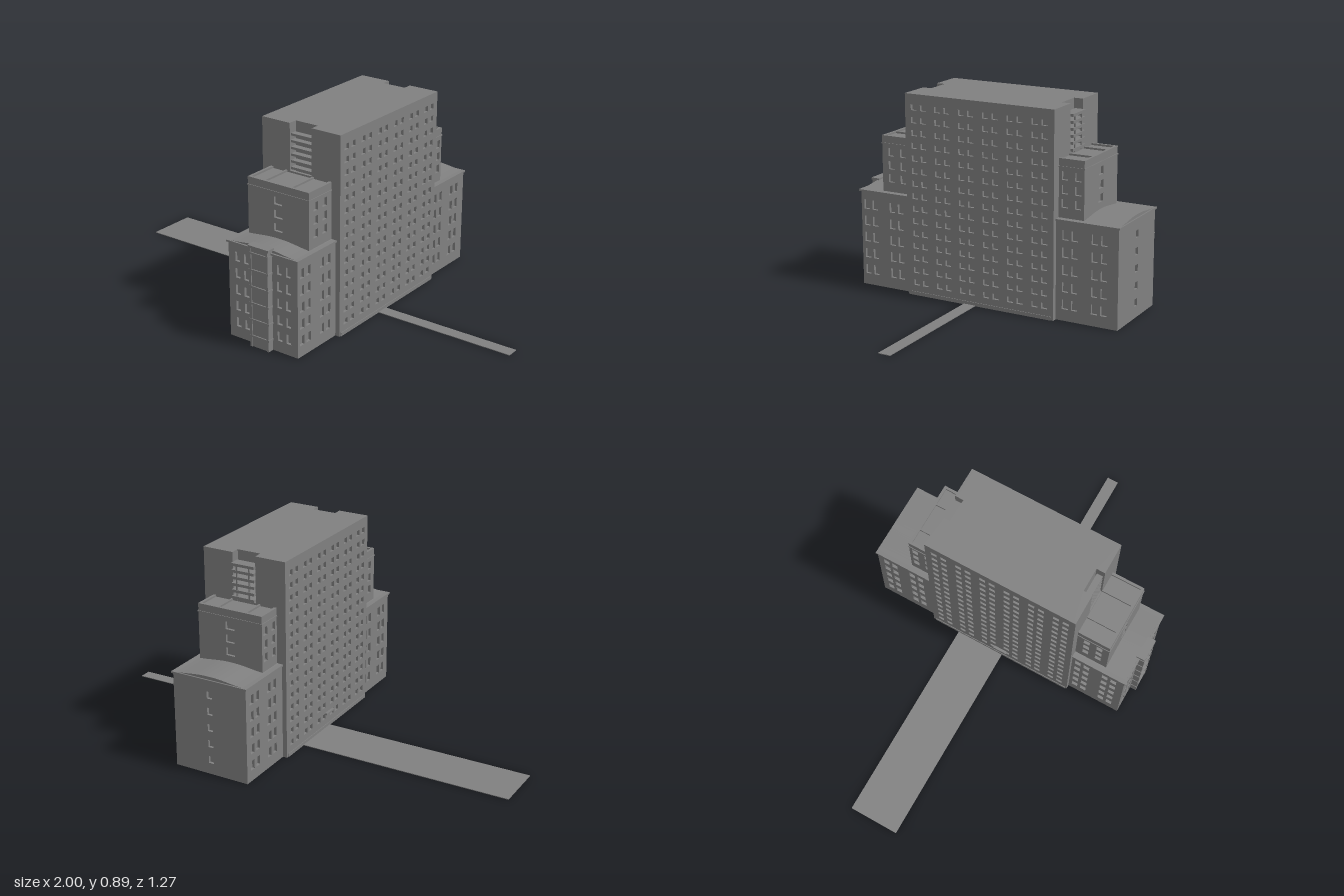
import * as THREE from 'three';

const stone = new THREE.MeshStandardMaterial({ color: 0x808080 });
stone.name = 'grey stone';
const T = 0.012; // facade thickness, so windows are recessed by this much
const CX = 0.1575; // centre line of the building

function add(parent, name, geometry, x = 0, y = 0, z = 0) {
  const mesh = new THREE.Mesh(geometry, stone);
  mesh.name = name;
  mesh.position.set(x, y, z);
  parent.add(mesh);
  return mesh;
}

// Box given by its limits on each axis
function box(parent, name, x0, x1, y0, y1, z0, z1) {
  return add(parent, name, new THREE.BoxGeometry(x1 - x0, y1 - y0, z1 - z0),
    (x0 + x1) / 2, (y0 + y1) / 2, (z0 + z1) / 2);
}

function polygon(points) {
  return new THREE.Shape(points.map(([x, y]) => new THREE.Vector2(x, y)));
}

function extrude(shape, depth) {
  return new THREE.ExtrudeGeometry(shape, { depth, bevelEnabled: false, curveSegments: 16 });
}

// Regular window openings: columns across, sill heights, width and height
function windows(columns, sills, w, h) {
  const list = [];
  for (const c of columns) for (const y of sills) list.push([c, y, w, h]);
  return list;
}

// Wall panel pierced by window openings; notch cuts a slot down from the top
function wall(width, y0, y1, openings, notch) {
  const a = width / 2;
  const outline = [[-a, y0], [a, y0], [a, y1]];
  if (notch) outline.push([notch.w, y1], [notch.w, notch.y], [-notch.w, notch.y], [-notch.w, y1]);
  outline.push([-a, y1]);
  const shape = polygon(outline);
  for (const [x, y, w, h] of openings) {
    shape.holes.push(polygon([[x - w / 2, y], [x - w / 2, y + h], [x + w / 2, y + h], [x + w / 2, y]]));
  }
  return extrude(shape, T);
}

// Two long facades, mirrored in x
function sideWalls(parent, x0, x1, y0, y1, z0, z1, openings) {
  const zc = (z0 + z1) / 2;
  for (const s of [1, -1]) {
    const x = s > 0 ? x1 - T : x0 + T;
    add(parent, s > 0 ? 'leftFacade' : 'rightFacade', wall(z1 - z0, y0, y1, openings), x, 0, zc)
      .rotation.y = s * Math.PI / 2;
  }
}

// End facade facing +z (dir 1) or -z (dir -1), its outer face at z
function endWall(parent, x0, x1, y0, y1, z, dir, openings, notch) {
  const m = add(parent, 'endFacade', wall(x1 - x0 - 2 * T, y0, y1, openings, notch),
    (x0 + x1) / 2, 0, z - dir * T);
  if (dir < 0) m.rotation.y = Math.PI;
}

const steps = (n, start, pitch) => Array.from({ length: n }, (_, i) => start + i * pitch);

function group(parent, name) {
  const g = new THREE.Group();
  g.name = name;
  parent.add(g);
  return g;
}

function tower(root) {
  const g = group(root, 'tower');
  const [x0, x1, z0, z1, top] = [-0.04, 0.355, -0.355, 0.35, 0.885];
  // Six pairs of window columns on fifteen floors
  const columns = [];
  for (const c of steps(6, -0.2875, 0.115)) columns.push(c - 0.0225, c + 0.0225);
  sideWalls(g, x0, x1, 0, top, z0, z1, windows(columns, steps(15, 0.045, 0.055), 0.028, 0.025));
  const notch = { w: 0.055, y: 0.68 };
  endWall(g, x0, x1, 0, top, z1, 1, [], notch);
  endWall(g, x0, x1, 0, top, z0, -1, [], notch);
  // Core with a balcony slot at each end, raised to leave the ground floor hollow
  const [a, b, c, d, n] = [x0 + T, x1 - T, z0 + T, z1 - T, 0.028];
  const [l, r] = [CX - notch.w, CX + notch.w];
  const plan = polygon([[a, -d], [l, -d], [l, n - d], [r, n - d], [r, -d], [b, -d],
    [b, -c], [r, -c], [r, -c - n], [l, -c - n], [l, -c], [a, -c]]);
  add(g, 'towerCore', extrude(plan, top - 0.04), 0, 0.04).rotation.x = -Math.PI / 2;
  // Stacked balconies
  for (const y of steps(6, 0.685, 0.029)) {
    box(g, 'frontBalcony', l, r, y, y + 0.01, 0.315, 0.343);
    box(g, 'backBalcony', l, r, y, y + 0.012, -0.368, -0.32);
  }
  for (const x of [0.125, 0.185]) box(g, 'balconyPost', x, x + 0.006, 0.68, 0.84, -0.366, -0.36);
  // Plinths
  for (const x of [x0 - 0.003, x1]) box(g, 'plinth', x, x + 0.003, 0, 0.016, -0.342, 0.342);
}

// Low wing at one end: dir 1 is the front, -1 the back
function wing(root, dir, zIn, zOut, zTier) {
  const g = group(root, dir > 0 ? 'frontWing' : 'backWing');
  const [x0, x1, top] = [-0.02, 0.333, 0.428];
  const [za, zb] = [Math.min(zIn, zOut), Math.max(zIn, zOut)];
  const sills = steps(5, 0.05, 0.074);
  sideWalls(g, x0, x1, 0, top, za, zb, windows([-0.093, -0.053, 0.033, 0.073].map(c => c * 1.05), sills, 0.028, 0.042));
  endWall(g, x0, x1, 0, top, zOut, dir, dir > 0
    ? windows([-0.13, -0.085, 0.085, 0.13], sills, 0.024, 0.042)
    : windows([0], steps(5, 0.05, 0.074), 0.026, 0.032));
  box(g, 'wingCore', x0 + T, x1 - T, 0.04, top, za + (dir < 0 ? T : 0), zb - (dir > 0 ? T : 0));
  // Cornice and gently arched roof
  const [ca, cb] = dir > 0 ? [za, zb + 0.008] : [za - 0.006, zb];
  box(g, 'cornice', x0 - 0.006, x1 + 0.006, 0.424, 0.432, ca, cb);
  const roof = new THREE.Shape();
  roof.moveTo(x0, 0.431);
  roof.lineTo(x1, 0.431);
  roof.bezierCurveTo(0.25, 0.436, 0.23, 0.446, CX, 0.446);
  roof.bezierCurveTo(0.085, 0.446, 0.065, 0.436, x0, 0.431);
  add(g, 'archedRoof', extrude(roof, zb - za), 0, 0, za);

  // Set-back tier above the wing
  const t = group(g, 'tier');
  const [tx0, tx1, ty] = [0.003, 0.312, 0.68];
  const [ta, tb] = [Math.min(zIn, zTier), Math.max(zIn, zTier)];
  const tierSills = steps(3, 0.475, 0.058);
  sideWalls(t, tx0, tx1, 0.43, ty, ta, tb, windows([-0.03, 0.03], tierSills, 0.028, 0.036));
  endWall(t, tx0, tx1, 0.43, ty, zTier, dir, windows([0], tierSills, 0.042, 0.034));
  box(t, 'tierCore', tx0 + T, tx1 - T, 0.43, 0.672, ta + (dir < 0 ? T : 0), tb - (dir > 0 ? T : 0));
  // Roof ribs and a thin band below the tier's parapet
  for (const x of [0.08, 0.215]) box(t, 'roofRib', x, x + 0.008, 0.67, ty, ta, tb);
  box(t, 'tierBand', tx0 - 0.003, tx1 + 0.003, 0.643, 0.648, ta - (dir < 0 ? 0.003 : 0), tb + (dir > 0 ? 0.003 : 0));
}

function frontBay(root) {
  const g = group(root, 'frontBay');
  box(g, 'bayShaft', 0.11, 0.205, 0, 0.45, 0.598, 0.627);
  for (const y of steps(6, 0.045, 0.074)) box(g, 'bayBand', 0.107, 0.208, y, y + 0.008, 0.6, 0.632);
  for (const x of [0.11, 0.195]) box(g, 'bayPilaster', x, x + 0.01, 0, 0.45, 0.62, 0.631);
  box(g, 'bayCap', 0.105, 0.21, 0.442, 0.452, 0.594, 0.633);
}

export function createModel() {
  const root = new THREE.Group();
  root.name = 'apartmentBuilding';
  tower(root);
  wing(root, 1, 0.35, 0.602, 0.5);
  wing(root, -1, -0.355, -0.635, -0.47);
  frontBay(root);

  // Entrance canopy
  box(root, 'entranceCanopy', -0.052, -0.04, 0.066, 0.074, -0.03, 0.035);

  // Ground floor partitions, seen from below
  for (const z of [-0.5, -0.22, -0.08, 0.1, 0.24, 0.48]) {
    box(root, 'partition', 0.03, 0.14, 0.002, 0.041, z, z + 0.006);
    box(root, 'partition', 0.2, 0.29, 0.002, 0.041, z + 0.03, z + 0.036);
  }

  // Wide drive on one side and a narrow path on the other
  box(root, 'drive', -1, -0.04, 0, 0.003, -0.22, 0.01);
  box(root, 'path', 0.355, 1, 0, 0.003, 0.015, 0.07);
  return root;
}
